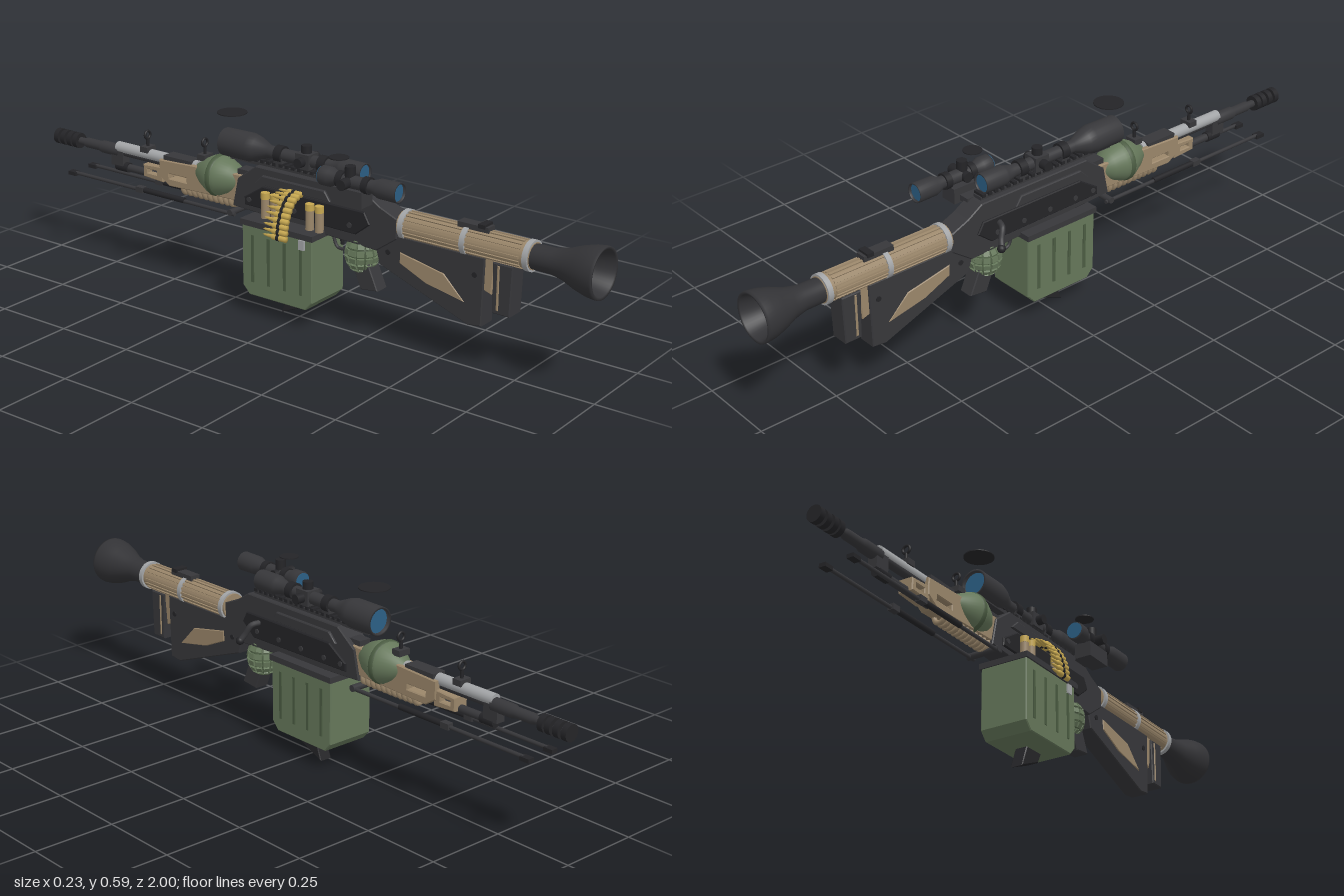
import * as THREE from 'three';

const mat = (color, side = THREE.FrontSide) => new THREE.MeshStandardMaterial({ color, side });
const X = 0.013; // centre line of the weapon

export function createModel() {
  const root = new THREE.Group();
  const dark = mat(0x37373a), black = mat(0x242427), green = mat(0x65775a), deepGreen = mat(0x4b5c42);
  const tan = mat(0x9a866a), gold = mat(0xc6a750), glass = mat(0x2b5f85), steel = mat(0xa2a4a6);
  const darkOpen = mat(0x333336, THREE.DoubleSide);

  const add = (name, geo, m, x = X, y = 0, z = 0) => {
    const mesh = new THREE.Mesh(geo, m);
    mesh.name = name;
    mesh.position.set(x, y, z);
    root.add(mesh);
    return mesh;
  };
  const box = (name, m, x, y, z, w, h, d) => add(name, new THREE.BoxGeometry(w, h, d), m, x, y, z);
  // lathe along z, points are [radius, z] with z rising
  const turn = (name, m, x, y, pts, seg = 28) =>
    add(name, new THREE.LatheGeometry(pts.map(p => new THREE.Vector2(...p)), seg).rotateX(Math.PI / 2), m, x, y);
  const rod = (name, m, x, y, z0, z1, r, seg = 20) =>
    add(name, new THREE.CylinderGeometry(r, r, z1 - z0, seg).rotateX(Math.PI / 2), m, x, y, (z0 + z1) / 2);
  const post = (name, m, x, y0, y1, z, r) =>
    add(name, new THREE.CylinderGeometry(r, r, y1 - y0, 18), m, x, (y0 + y1) / 2, z);
  const cross = (name, m, x0, x1, y, z, r) =>
    add(name, new THREE.CylinderGeometry(r, r, x1 - x0, 18).rotateZ(Math.PI / 2), m, (x0 + x1) / 2, y, z);
  // side outline of [z, y] points given thickness in x
  const slab = (name, m, pts, w, x = X, holes = []) => {
    const shape = new THREE.Shape(pts.map(p => new THREE.Vector2(...p)));
    holes.forEach(h => shape.holes.push(new THREE.Path(h.map(p => new THREE.Vector2(...p)))));
    const b = Math.min(0.003, w / 5);
    const geo = new THREE.ExtrudeGeometry(shape, {
      depth: w - 2 * b, bevelThickness: b, bevelSize: b, bevelOffset: -b, bevelSegments: 1
    });
    return add(name, geo.translate(0, 0, b - w / 2).rotateY(-Math.PI / 2), m, x);
  };

  // flared rear horn
  turn('rearHorn', darkOpen, X, 0.375, [[0.036, 0.78], [0.037, 0.85], [0.046, 0.89], [0.062, 0.93],
    [0.072, 0.965], [0.075, 0.992], [0.074, 1], [0.066, 0.998], [0.055, 0.95], [0.031, 0.88], [0, 0.88]], 40);

  // ribbed launcher tube with metal collars
  rod('launcherTube', tan, X, 0.375, 0.36, 0.79, 0.039, 28);
  for (let i = 0; i < 18; i++) {
    const a = i / 18 * Math.PI * 2;
    const rib = box('tubeRib', tan, X + Math.cos(a) * 0.039, 0.375 + Math.sin(a) * 0.039, 0.57, 0.007, 0.007, 0.38);
    rib.rotation.z = a;
  }
  for (const z of [0.375, 0.58, 0.78]) rod('tubeCollar', steel, X, 0.375, z - 0.008, z + 0.008, 0.045, 28);
  box('tubeLatch', dark, X, 0.42, 0.6, 0.034, 0.018, 0.1);
  box('tubeLatchTop', black, X, 0.43, 0.63, 0.042, 0.012, 0.022);

  // shoulder stock
  slab('buttPad', dark, [[0.74, 0.34], [0.735, 0.19], [0.68, 0.19], [0.675, 0.34]], 0.062);
  slab('buttSpacer', tan, [[0.7, 0.335], [0.7, 0.2], [0.69, 0.2], [0.69, 0.335]], 0.066);
  slab('stockSpine', tan, [[0.68, 0.345], [0.67, 0.24], [0.64, 0.25], [0.63, 0.345]], 0.05);
  slab('stockBody', dark, [[0.65, 0.345], [0.645, 0.14], [0.6, 0.135], [0.3, 0.245], [0.27, 0.345]], 0.062);
  slab('stockPanel', tan, [[0.59, 0.2], [0.52, 0.27], [0.37, 0.3], [0.37, 0.265], [0.46, 0.225]], 0.067);
  for (const z of [0.62, 0.33]) cross('stockPin', black, X - 0.034, X + 0.034, 0.29, z, 0.008);

  // pistol grip: segmented oval body
  const grip = add('gripBody', new THREE.SphereGeometry(1, 24, 16), deepGreen, X, 0.252, 0.218);
  grip.scale.set(0.046, 0.057, 0.046);
  for (let r = 0; r < 6; r++) for (let c = 0; c < 12; c++) {
    const v = (r - 2.5) * 0.38, a = c / 12 * Math.PI * 2, k = Math.cos(v);
    const lump = box('gripSegment', green, X + Math.sin(a) * k * 0.046, 0.252 + Math.sin(v) * 0.056,
      0.218 + Math.cos(a) * k * 0.046, 0.021 * k, 0.016, 0.01);
    lump.rotation.set(-v, a, 0, 'YXZ');
  }
  slab('gripFoot', dark, [[0.29, 0.155], [0.255, 0.235], [0.2, 0.22], [0.23, 0.148]], 0.05);

  // trigger and guard
  const guard = new THREE.CatmullRomCurve3([[0.19, 0.295], [0.17, 0.255], [0.13, 0.25], [0.11, 0.295]]
    .map(p => new THREE.Vector3(0, p[1], p[0])));
  add('triggerGuard', new THREE.TubeGeometry(guard, 20, 0.005, 8), dark);
  slab('trigger', black, [[0.15, 0.3], [0.152, 0.262], [0.143, 0.262], [0.135, 0.3]], 0.01);

  // receiver
  slab('receiver', dark, [[0.36, 0.335], [0.36, 0.395], [0.3, 0.42], [0.25, 0.452], [-0.15, 0.452], [-0.22, 0.4],
    [-0.24, 0.31], [0.17, 0.29], [0.29, 0.285]], 0.068);
  slab('receiverPlate', black, [[0.27, 0.36], [0.25, 0.395], [-0.12, 0.395], [-0.19, 0.35], [-0.19, 0.325], [0.22, 0.32]], 0.08);
  slab('feedCover', dark, [[0.13, 0.4], [0.11, 0.43], [-0.12, 0.43], [-0.15, 0.4]], 0.084);
  for (const z of [0.2, 0.1, 0, -0.1, -0.17]) cross('receiverPin', dark, X - 0.043, X + 0.043, 0.345, z, 0.008);
  box('topRail', dark, X, 0.456, -0.01, 0.032, 0.012, 0.5);
  for (let i = 0; i < 22; i++) box('railTooth', black, X, 0.465, 0.23 - i * 0.023, 0.04, 0.01, 0.012);
  // bent charging handle on the +x side
  const arm = new THREE.CatmullRomCurve3([[0.045, 0.375, 0.19], [0.075, 0.37, 0.2], [0.088, 0.34, 0.215], [0.103, 0.318, 0.225]]
    .map(p => new THREE.Vector3(...p)));
  add('chargingHandle', new THREE.TubeGeometry(arm, 16, 0.009, 10), dark, 0);
  add('chargingKnob', new THREE.SphereGeometry(0.013, 14, 10), black, 0.1, 0.32, 0.225);

  // ammunition box
  slab('ammoBox', green, [[0.105, 0.29], [0.105, 0.093], [0.08, 0.066], [-0.13, 0.066], [-0.155, 0.093], [-0.155, 0.29]], 0.158, -0.002);
  box('ammoBoxLid', dark, -0.002, 0.296, -0.025, 0.168, 0.018, 0.268);
  for (const s of [-1, 1]) for (let i = 0; i < 4; i++)
    box('boxGroove', deepGreen, -0.002 + s * 0.079, 0.185, 0.065 - i * 0.06, 0.005, 0.15, 0.01);
  box('boxLatch', steel, -0.084, 0.27, 0.07, 0.006, 0.03, 0.02);
  slab('lowerFin', black, [[0.035, 0.068], [0.02, 0.035], [-0.065, 0], [-0.04, 0.068]], 0.042);

  // belt of cartridges hanging on the -x side
  const belt = new THREE.CatmullRomCurve3([[-0.03, 0.402], [-0.062, 0.39], [-0.088, 0.355], [-0.1, 0.32], [-0.105, 0.284]]
    .map(p => new THREE.Vector3(p[0], p[1], 0)));
  for (let i = 0; i < 10; i++) {
    const p = belt.getPointAt(i / 9);
    turn('beltCartridge', gold, p.x, p.y, [[0, -0.058], [0.003, -0.05], [0.005, -0.035], [0.005, -0.026],
      [0.009, -0.018], [0.009, 0.03], [0, 0.03]], 12);
    rod('beltLink', black, p.x, p.y, -0.004, 0.006, 0.0098, 12);
  }
  // upright spare shells on the same side
  for (const z of [-0.1, -0.065, 0.065, 0.1]) {
    post('spareShell', tan, -0.038, 0.305, 0.365, z, 0.013);
    post('spareShellCap', gold, -0.038, 0.365, 0.385, z, 0.0135);
  }

  // main scope
  const sy = 0.495;
  turn('mainScope', dark, X, sy, [[0, -0.275], [0.037, -0.275], [0.037, -0.29], [0.043, -0.29], [0.044, -0.19], [0.038, -0.165],
    [0.019, -0.12], [0.019, 0.11], [0.027, 0.14], [0.031, 0.15], [0.031, 0.225], [0.027, 0.225], [0.027, 0.217], [0, 0.217]]);
  rod('mainFrontLens', glass, X, sy, -0.28, -0.274, 0.036, 28);
  rod('mainRearLens', glass, X, sy, 0.214, 0.22, 0.0265, 28);
  box('mainTurretBlock', dark, X, sy, 0.015, 0.048, 0.046, 0.05);
  post('mainTurret', black, X, sy, 0.541, 0.015, 0.016);
  cross('mainSideTurret', black, X - 0.045, X + 0.05, sy, 0.015, 0.015);
  for (const z of [0.08, -0.08]) {
    rod('mainScopeRing', black, X, sy, z - 0.013, z + 0.013, 0.026);
    box('mainScopeMount', dark, X, 0.473, z, 0.036, 0.026, 0.03);
  }
  post('mainFloatingCap', black, X, 0.589, 0.592, -0.265, 0.046);

  // offset scope
  const ox = -0.067;
  turn('sideScope', dark, ox, sy, [[0, 0.13], [0.026, 0.13], [0.029, 0.135], [0.029, 0.165], [0.02, 0.185], [0.019, 0.31],
    [0.029, 0.335], [0.03, 0.4], [0.026, 0.4], [0.026, 0.39], [0, 0.39]]);
  rod('sideRearLens', glass, ox, sy, 0.388, 0.393, 0.0255, 28);
  rod('sideFrontLens', glass, ox, sy, 0.128, 0.133, 0.0255, 28);
  post('sideTurret', black, ox, sy, 0.541, 0.23, 0.016);
  cross('sideTurretKnob', black, ox - 0.047, ox + 0.03, sy, 0.23, 0.016);
  box('sideMount', dark, -0.062, 0.453, 0.235, 0.055, 0.048, 0.1);
  box('sideMountArm', dark, -0.03, 0.445, 0.235, 0.06, 0.018, 0.06);
  for (const z of [0.2, 0.29]) rod('sideScopeRing', black, ox, sy, z - 0.01, z + 0.01, 0.025);
  post('sideFloatingCap', black, ox, 0.557, 0.56, 0.19, 0.029);

  // pointed green pod around the barrel
  turn('pod', green, X, 0.382, [[0.01, -0.415], [0.022, -0.4], [0.043, -0.37], [0.061, -0.335], [0.064, -0.315],
    [0.061, -0.295], [0.047, -0.26], [0.025, -0.228], [0, -0.222]], 32);
  turn('podSeam', deepGreen, X, 0.382, [[0.063, -0.326], [0.066, -0.322], [0.066, -0.312], [0.063, -0.308]], 32);

  // handguard and gas system
  slab('handguard', tan, [[-0.2, 0.41], [-0.54, 0.395], [-0.54, 0.34], [-0.5, 0.315], [-0.21, 0.325]], 0.056, X,
    [[[-0.43, 0.355], [-0.43, 0.34], [-0.5, 0.34], [-0.5, 0.355]]]);
  slab('handguardTip', tan, [[-0.53, 0.37], [-0.61, 0.365], [-0.61, 0.325], [-0.53, 0.32]], 0.05, X,
    [[[-0.555, 0.352], [-0.555, 0.34], [-0.592, 0.34], [-0.592, 0.352]]]);
  box('handguardTop', dark, X, 0.392, -0.47, 0.046, 0.036, 0.11);
  box('frontRail', dark, X, 0.4, -0.2, 0.04, 0.05, 0.06);
  rod('gasTube', dark, X, 0.33, -0.735, -0.5, 0.012);
  rod('gasPlug', black, X, 0.33, -0.74, -0.69, 0.016);
  for (let i = 0; i < 11; i++)
    add('lowerCoil', new THREE.TorusGeometry(0.018, 0.008, 8, 18), tan, X, 0.316, -0.24 - i * 0.021);

  // barrel and muzzle brake
  rod('barrelSleeve', steel, X, 0.392, -0.735, -0.4, 0.018);
  turn('barrel', dark, X, 0.38, [[0, -0.99], [0.012, -0.99], [0.012, -0.88], [0.016, -0.87], [0.016, -0.81],
    [0.02, -0.8], [0.02, -0.73], [0.014, -0.725], [0.014, -0.4]]);
  for (const z of [-0.91, -0.935, -0.963, -0.991]) rod('muzzleRing', black, X, 0.38, z - 0.009, z + 0.009, 0.025);
  box('gasBlock', dark, X, 0.358, -0.73, 0.03, 0.05, 0.05);

  // ring sights
  for (const [z, y] of [[-0.61, 0.455], [-0.375, 0.475]]) {
    add('sightRing', new THREE.TorusGeometry(0.012, 0.004, 8, 20), black, X, y, z);
    post('sightPost', black, X, y - 0.06, y - 0.011, z, 0.005);
    box('sightBase', dark, X, y - 0.045, z, 0.04, 0.018, 0.03);
  }

  // folded bipod
  for (const s of [-1, 1]) {
    const x = X - 0.002 + s * 0.046;
    rod('bipodLeg', dark, x, 0.288, -0.88, -0.22, 0.006, 10);
    rod('bipodSleeve', black, x, 0.29, -0.61, -0.42, 0.009, 10);
    box('bipodFoot', black, x, 0.286, -0.89, 0.022, 0.012, 0.032);
    box('bipodLock', dark, x, 0.29, -0.6, 0.02, 0.018, 0.03);
  }
  cross('bipodHinge', dark, X - 0.055, X + 0.055, 0.292, -0.235, 0.01);
  return root;
}
